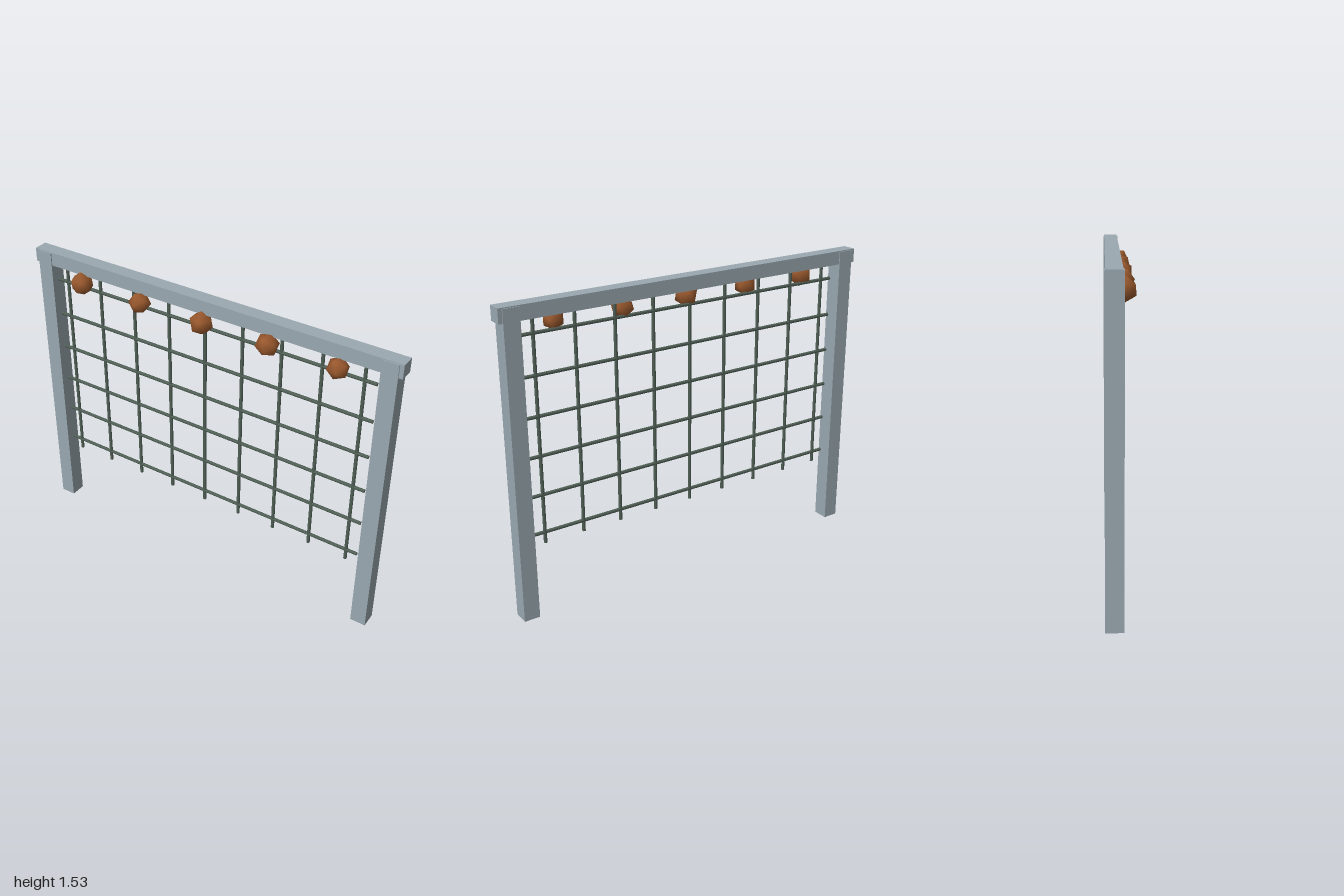
import * as THREE from 'three';
import { mergeVertices } from 'three/addons/utils/BufferGeometryUtils.js';

export function createModel() {
  const model = new THREE.Group();
  const mat = (name, color) => {
    const m = new THREE.MeshStandardMaterial({ color });
    m.name = name;
    return m;
  };
  const frameGrey = mat('frameGrey', 0x9aa8b0);
  const netGreen = mat('netGreen', 0x526258);
  const knobBrown = mat('knobBrown', 0x9c5a2e);
  const FRAME_Z = -0.03;
  const NET_Z = -0.018;

  const add = (name, geometry, material, x, y, z) => {
    const mesh = new THREE.Mesh(geometry, material);
    mesh.name = name;
    mesh.position.set(x, y, z);
    model.add(mesh);
    return mesh;
  };

  // Frame: two posts and an overhanging top beam
  const postGeometry = new THREE.BoxGeometry(0.08, 1.53, 0.082);
  add('leftPost', postGeometry, frameGrey, 0.94, 0.765, FRAME_Z);
  add('rightPost', postGeometry, frameGrey, -0.94, 0.765, FRAME_Z);
  add('topBeam', new THREE.BoxGeometry(2, 0.07, 0.072), frameGrey, 0, 1.5, FRAME_Z);

  // Net: hanging ropes and cross ropes
  const hanging = new THREE.CylinderGeometry(0.0085, 0.0085, 1.12, 6);
  for (let i = -4; i <= 4; i++) {
    add('hangingRope', hanging, netGreen, i * 0.2057, 0.915, NET_Z);
  }
  const cross = new THREE.CylinderGeometry(0.0085, 0.0085, 1.765, 6);
  for (let i = 0; i < 6; i++) {
    add('crossRope', cross, netGreen, 0, 0.411 + i * 0.195, NET_Z).rotation.z = Math.PI / 2;
  }

  // Smooth-shaded low-poly knob, one corner pointing down
  const knobGeometry = new THREE.IcosahedronGeometry(1, 0);
  knobGeometry.deleteAttribute('normal');
  knobGeometry.deleteAttribute('uv');
  const smoothKnob = mergeVertices(knobGeometry);
  smoothKnob.rotateZ(-Math.atan(2 / (1 + Math.sqrt(5))));
  smoothKnob.computeVertexNormals();

  // Knobs under the front edge of the beam: radius, turn and tilt
  const knobs = [
    [0.060, 0.4, 0.1],
    [0.056, 1.0, 0.5],
    [0.060, 0.0, 0.0],
    [0.057, 0.7, -0.4],
    [0.053, 1.3, 0.6],
  ];
  knobs.forEach(([radius, turn, tilt], i) => {
    const knob = add('knob', smoothKnob, knobBrown, (i - 2) * 0.353, 1.424, 0.014);
    knob.scale.setScalar(radius);
    knob.rotation.set(0, turn, tilt);
  });

  return model;
}
